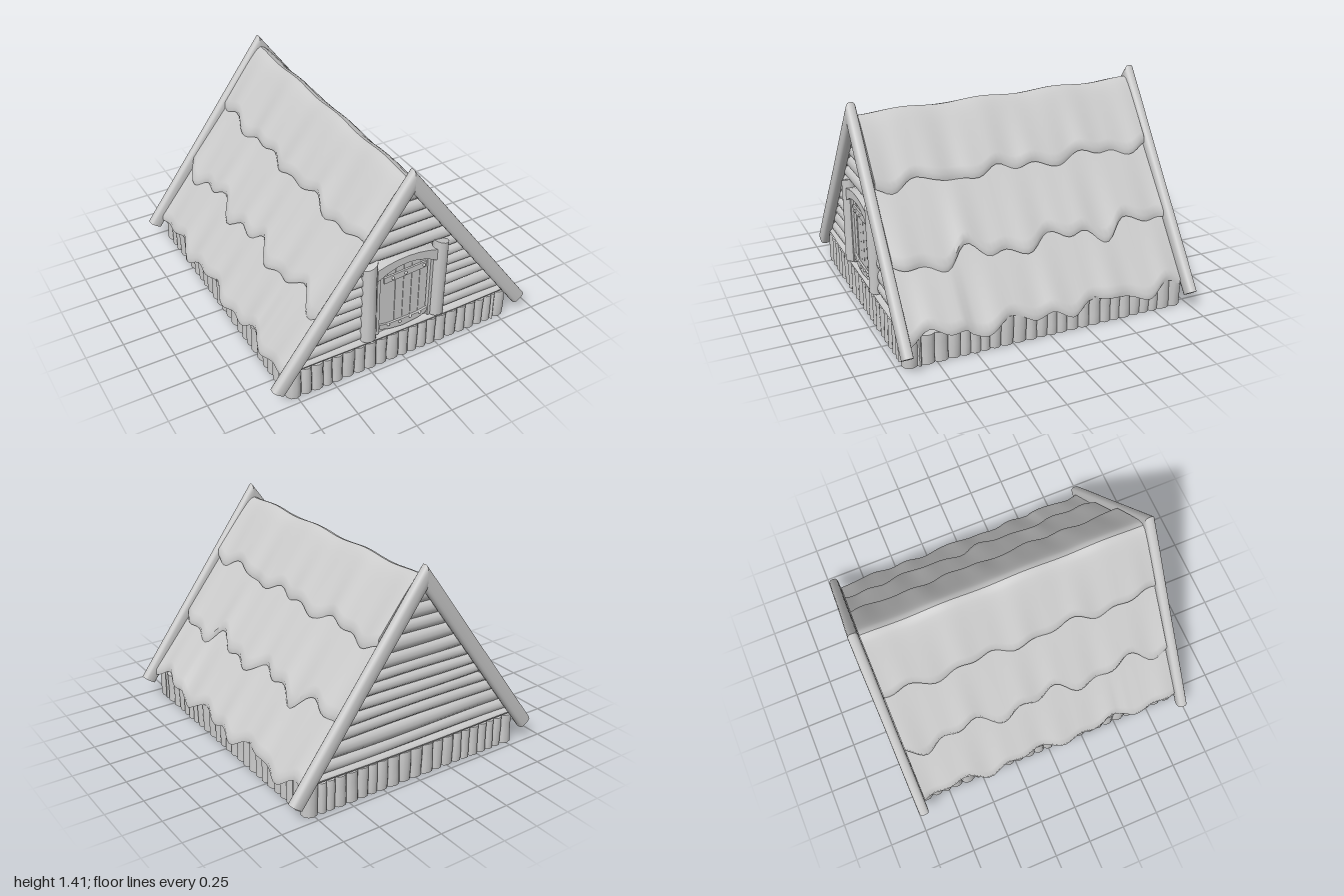
import * as THREE from 'three';
import { toCreasedNormals } from 'three/addons/utils/BufferGeometryUtils.js';

const material = new THREE.MeshStandardMaterial({ color: 0xcccccc, side: THREE.DoubleSide });
const SLOPE = 1.362;
const lerp = THREE.MathUtils.lerp;

// Small seeded random source
let seed = 7;
const rand = (a, b) => {
  seed = (seed * 16807) % 2147483647;
  return lerp(a, b, seed / 2147483647);
};

// Moves every vertex by a rule, then smooths all but sharp edges
function deform(geo, rule, crease = 0.8) {
  const p = geo.attributes.position;
  for (let i = 0; i < p.count; i++) p.setXYZ(i, ...rule(p.getX(i), p.getY(i), p.getZ(i)));
  return toCreasedNormals(geo, crease);
}

function add(parent, name, geo, x = 0, y = 0, z = 0) {
  const mesh = new THREE.Mesh(geo, material);
  mesh.name = name;
  mesh.position.set(x, y, z);
  parent.add(mesh);
  return mesh;
}

// Upright log with an uneven skin
function postGeometry(r, h, depth = r, slant = 0) {
  const k = rand(0, 6);
  return deform(new THREE.CylinderGeometry(1, 1, 1, 10, 3), (x, y, z) => {
    const w = 1 + 0.05 * Math.sin(y * 5 + k);
    return [x * r * w, (y + 0.5) * h + (y > 0.4 ? x * slant : 0), z * depth * w];
  });
}

// Horizontal wall log whose ends follow the roof pitch; inner cuts it at the doorway
function wallLogGeometry(y0, y1, rz, inner = null) {
  const yc = (y0 + y1) / 2, ry = (y1 - y0) / 2 + 0.006, k = rand(0, 6);
  return deform(new THREE.CylinderGeometry(1, 1, 1, 12, 8), (x, y, z) => {
    const yy = yc - x * ry;
    const end = Math.max((1.28 - yy) / SLOPE, 0.005);
    const xx = lerp(inner === null ? -end : inner, end, y + 0.5);
    return [xx, yy + 0.005 * Math.sin(xx * 5 + k), z * rz * (1 + 0.06 * Math.sin(xx * 7 + k))];
  });
}

// Sloping verge beam: mitred at the ridge, cut square at the foot
function rafterGeometry() {
  const box = v => Math.sign(v) * Math.abs(v) ** 0.65;
  return deform(new THREE.CylinderGeometry(1, 1, 1, 16, 6), (x, y, z) => {
    const t = y + 0.5, a = box(-x) * 0.047, bow = 1 + 0.03 * Math.sin(t * 9);
    const foot = [0.8875 + a * 0.806, 0.12 + a * 0.592];
    return [lerp(0, foot[0], 1 - t), lerp(foot[1], 1.33 + a / 0.591, t), box(z) * 0.0335 * bow];
  }, 0.6);
}

// One overlapping roof covering on the +x or -x side
function roofSheetGeometry(side, x0, x1, lift0, lift1, waves, ridge) {
  const k = side * 1.3 + x1 * 9;
  return deform(new THREE.BoxGeometry(1, 1, 1, 12, 1, 56), (u, v, w) => {
    const t = u + 0.5, z = w * 1.86, zw = z * side;
    const ragged = waves * (0.55 * Math.sin(zw * 11 + k) + 0.45 * Math.sin(zw * 23 + 2 * k));
    const x = lerp(x0, x1 + ragged, t);
    const ripple = 0.009 * t * (Math.sin(zw * 17 + k) + 0.6 * Math.sin(zw * 31 + k));
    const sag = ridge ? 0.008 * Math.sin(zw * 12) * (1 - t) : 0;
    const flap = !ridge && x1 > 0.7 && zw > 0.55 ? 0.025 * t : 0;
    const y = 1.36 - SLOPE * Math.sqrt(x * x + 0.0016) + lerp(lift0, lift1, t) + ripple + sag + flap;
    return [x, y + (v - 0.5) * 0.04, z];
  }, 1.0);
}

function buildRoof() {
  const roof = new THREE.Group();
  roof.name = 'roof';
  for (const side of [1, -1]) {
    const sheets = [
      ['lowerRoofSheet', 0.5, 0.825, -0.06, -0.035, 0.03, false],
      ['middleRoofSheet', 0.22, 0.58, -0.03, 0.005, 0.045, false],
      ['ridgeRoofSheet', 0, 0.3, 0.025, 0.035, 0.025, true],
    ];
    for (const [name, ...args] of sheets)
      add(roof, name, roofSheetGeometry(side, ...args)).rotation.y = side > 0 ? 0 : Math.PI;
    for (const end of [1, -1])
      add(roof, 'rafter', rafterGeometry(), 0, 0, end * 0.966).rotation.y = side > 0 ? 0 : Math.PI;
  }
  return roof;
}

function buildGable(front) {
  const gable = new THREE.Group();
  gable.name = front ? 'frontGable' : 'backGable';
  const seams = [0.24, 0.32, 0.42, 0.5, 0.575, 0.65, 0.725, 0.8, 0.89, 0.985, 1.07, 1.16, 1.26];
  for (let i = 0; i + 1 < seams.length; i++) {
    if (front && seams[i] < 0.79) {
      for (const s of [1, -1])
        add(gable, 'wallLog', wallLogGeometry(seams[i], seams[i + 1], 0.045, 0.24), 0, 0, 0.9)
          .rotation.y = s > 0 ? 0 : Math.PI;
    } else add(gable, 'wallLog', wallLogGeometry(seams[i], seams[i + 1], 0.045), 0, 0, 0.9);
  }
  add(gable, 'sill', wallLogGeometry(0.2, 0.245, 0.055), 0, 0, 0.905);
  return gable;
}

function extrude(points, depth) {
  const shape = new THREE.Shape(points.map(p => new THREE.Vector2(...p)));
  return new THREE.ExtrudeGeometry(shape, { depth, bevelEnabled: false });
}

function buildDoor() {
  const door = new THREE.Group();
  door.name = 'door';
  const arch = x => 0.755 - 1.5 * x * x;

  // Vertical planks under a curved head
  const n = 6, w = 0.35 / n;
  for (let i = 0; i < n; i++) {
    const a = -0.175 + i * w, b = a + w - 0.003;
    add(door, 'doorPlank', extrude([[a, 0.25], [b, 0.25], [b, arch(b)], [a, arch(a)]], 0.03), 0, 0, 0.9 + rand(0, 0.006));
  }

  // Frame
  for (const s of [1, -1]) {
    add(door, 'doorPost', postGeometry(0.051, 0.565, 0.045, -s * 0.018), s * 0.25, 0.245, 0.94);
    add(door, 'doorJamb', new THREE.BoxGeometry(0.02, 0.45, 0.05), s * 0.188, 0.475, 0.925);
  }
  const xs = [-0.21, -0.14, -0.07, 0, 0.07, 0.14, 0.21];
  const lower = xs.map(x => [x, arch(x) - 0.002]);
  const upper = xs.map(x => [x, 0.803 - 0.8 * x * x]).reverse();
  add(door, 'lintel', extrude([...lower, ...upper], 0.08), 0, 0, 0.89);

  // Metal straps with rivets
  const strap = add(door, 'upperStrap', new THREE.BoxGeometry(0.3, 0.044, 0.012), 0, 0.66, 0.942);
  strap.rotation.z = 0.06;
  const curve = [-0.17, -0.1, 0, 0.1, 0.17].map(x => [x, 0.245 + 1.2 * x * x]);
  add(door, 'lowerStrap', extrude([...curve, [0.175, 0.315], [0.1, 0.3], [-0.1, 0.3], [-0.175, 0.315]], 0.014), 0, 0, 0.934);
  const rivets = [[-0.09, 0.655], [0, 0.66], [0.13, 0.668], [-0.11, 0.297], [-0.025, 0.285], [0.05, 0.295], [0.12, 0.297]];
  for (const [x, y] of rivets) add(door, 'rivet', new THREE.SphereGeometry(0.01, 8, 6), x, y, 0.95);
  return door;
}

// Ring of short stakes around the open underside
function buildPalisade() {
  const base = new THREE.Group();
  base.name = 'palisade';
  const row = (half, place) => {
    for (let p = -half; p < half - 0.01;) {
      const w = Math.min(rand(0.06, 0.09), half - p);
      place(p + w / 2, w / 2 + 0.004);
      p += w;
    }
  };
  for (const s of [1, -1]) {
    row(0.71, (x, r) => add(base, 'stake', postGeometry(r, 0.205, 0.034), x, 0, s * 0.928));
    row(0.87, (z, r) => add(base, 'stake', postGeometry(0.034, 0.2, r), s * 0.772, 0, z));
    for (const e of [1, -1]) add(base, 'cornerPost', postGeometry(0.053, 0.205), s * 0.757, 0, e * 0.91);
  }
  return base;
}

export function createModel() {
  seed = 7;
  const model = new THREE.Group();
  model.name = 'hut';
  const back = buildGable(false);
  back.rotation.y = Math.PI;
  model.add(buildPalisade(), buildGable(true), back, buildDoor(), buildRoof());
  return model;
}
